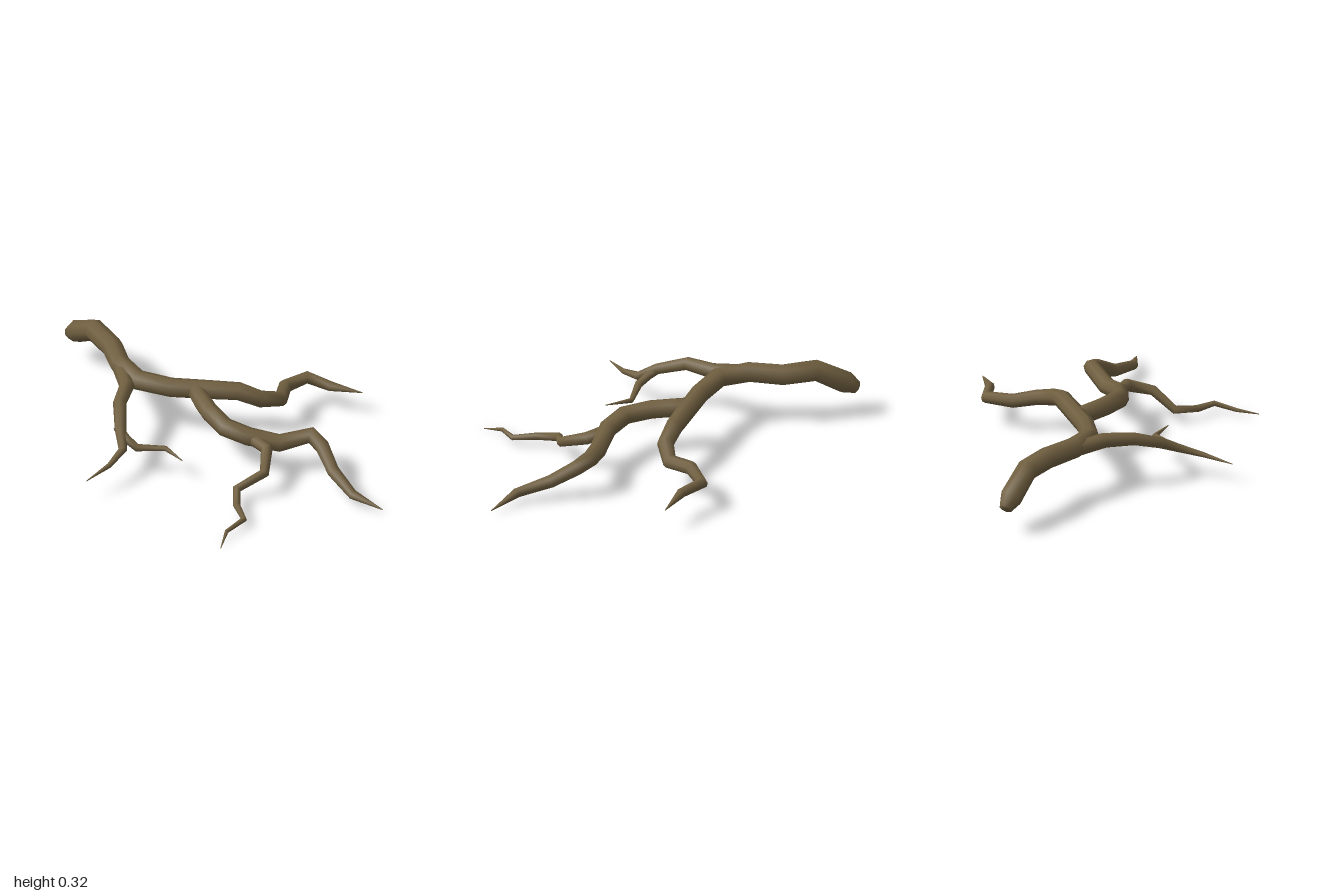
import * as THREE from 'three';

const SIDES = 8;

// Tapered limb: rings swept along [x, y, z, radius] points, closed at both ends
function limbGeometry(path) {
  const pts = path.map(([x, y, z]) => new THREE.Vector3(x, y, z));
  const last = pts.length - 1;
  const pos = [], index = [];
  const side = new THREE.Vector3(0, 1, 0);
  pts.forEach((p, i) => {
    const tangent = new THREE.Vector3();
    if (i > 0) tangent.add(p.clone().sub(pts[i - 1]).normalize());
    if (i < last) tangent.add(pts[i + 1].clone().sub(p).normalize());
    tangent.normalize();
    side.addScaledVector(tangent, -side.dot(tangent)).normalize();
    const up = tangent.clone().cross(side);
    for (let j = 0; j < SIDES; j++) {
      const a = (j / SIDES) * Math.PI * 2;
      const v = p.clone()
        .addScaledVector(side, Math.cos(a) * path[i][3])
        .addScaledVector(up, Math.sin(a) * path[i][3]);
      pos.push(v.x, v.y, v.z);
    }
  });
  const start = pos.length / 3, end = start + 1;
  pos.push(...pts[0].toArray(), ...pts[last].toArray());
  for (let j = 0; j < SIDES; j++) {
    const k = (j + 1) % SIDES;
    for (let i = 0; i < last; i++) {
      const a = i * SIDES + j, b = i * SIDES + k;
      index.push(a, b, b + SIDES, a, b + SIDES, a + SIDES);
    }
    index.push(start, k, j, end, last * SIDES + j, last * SIDES + k);
  }
  const geometry = new THREE.BufferGeometry();
  geometry.setAttribute('position', new THREE.Float32BufferAttribute(pos, 3));
  geometry.setIndex(index);
  geometry.computeVertexNormals();
  return geometry;
}

const LIMBS = {
  // Thick stem running on into the left limb
  mainRoot: [
    [-0.08, 0.148, -0.985, 0.032], [-0.08, 0.185, -0.93, 0.056], [-0.085, 0.272, -0.785, 0.054],
    [-0.1, 0.268, -0.62, 0.053], [-0.165, 0.275, -0.47, 0.051], [-0.17, 0.268, -0.32, 0.049],
    [-0.07, 0.255, -0.19, 0.047], [0.06, 0.25, -0.08, 0.046], [0.18, 0.245, 0.02, 0.044],
    [0.26, 0.205, 0.09, 0.041], [0.37, 0.17, 0.105, 0.037], [0.455, 0.165, 0.025, 0.034],
    [0.595, 0.155, 0.015, 0.03], [0.645, 0.148, 0.135, 0.024], [0.75, 0.13, 0.25, 0.002],
  ],
  // Limb reaching furthest forward
  frontRoot: [
    [0.02, 0.25, -0.12, 0.042], [-0.005, 0.24, -0.03, 0.046], [-0.03, 0.235, 0.07, 0.046],
    [-0.037, 0.222, 0.2, 0.046], [0.025, 0.2, 0.305, 0.045], [0.145, 0.162, 0.395, 0.043],
    [0.275, 0.198, 0.475, 0.04], [0.287, 0.165, 0.55, 0.037], [0.262, 0.1, 0.67, 0.032],
    [0.252, 0.06, 0.84, 0.024], [0.32, 0.025, 0.99, 0.002],
  ],
  // Thin offshoot of the front limb
  frontRootlet: [
    [0.03, 0.195, 0.31, 0.03], [0.05, 0.18, 0.42, 0.031], [-0.04, 0.13, 0.52, 0.025],
    [-0.18, 0.075, 0.485, 0.021], [-0.25, 0.058, 0.58, 0.018], [-0.285, 0.05, 0.685, 0.014],
    [-0.4, 0.035, 0.7, 0.01], [-0.485, 0.007, 0.765, 0.002],
  ],
  // Limb on the right with its own offshoot
  rightRoot: [
    [-0.165, 0.27, -0.48, 0.04], [-0.245, 0.267, -0.31, 0.038], [-0.355, 0.263, -0.22, 0.033],
    [-0.44, 0.21, -0.1, 0.028], [-0.49, 0.158, -0.015, 0.021], [-0.6, 0.133, 0.025, 0.013],
    [-0.75, 0.112, 0.042, 0.002],
  ],
  rightRootlet: [
    [-0.445, 0.215, -0.12, 0.022], [-0.44, 0.18, -0.05, 0.021], [-0.42, 0.152, 0.005, 0.019],
    [-0.302, 0.14, 0.08, 0.013], [-0.3, 0.138, 0.21, 0.002],
  ],
};

export function createModel() {
  const group = new THREE.Group();
  group.name = 'treeRoot';
  const bark = new THREE.MeshStandardMaterial({ color: 0x705f40 });
  bark.name = 'barkBrown';
  for (const [name, path] of Object.entries(LIMBS)) {
    const mesh = new THREE.Mesh(limbGeometry(path), bark);
    mesh.name = name;
    group.add(mesh);
  }
  return group;
}
